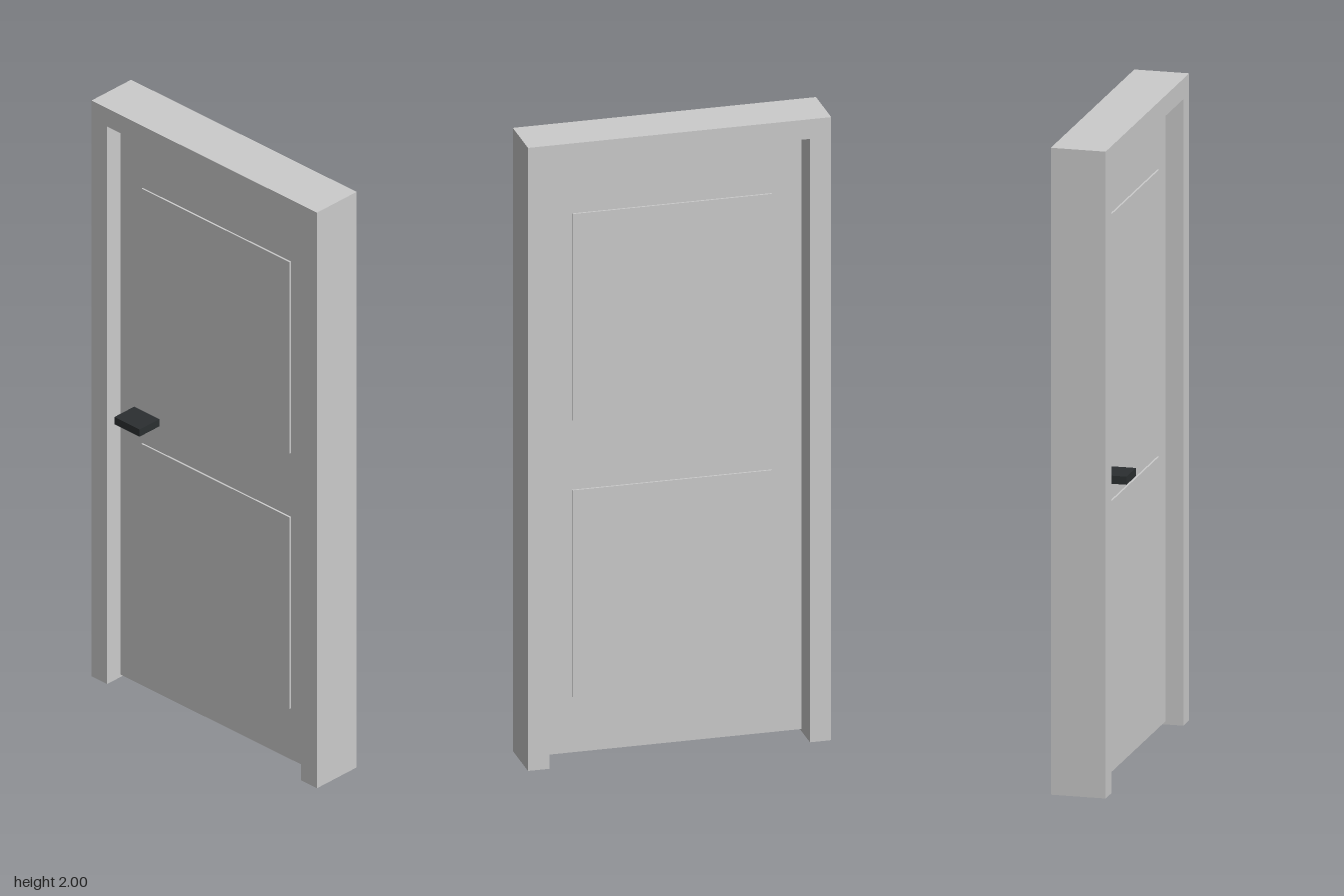
import * as THREE from 'three';

const grey = new THREE.MeshStandardMaterial({ color: 0xcccccc });
const dark = new THREE.MeshStandardMaterial({ color: 0x2b2f31 });

// Box given by its lower and upper corners
function box(name, [x0, y0, z0], [x1, y1, z1], material = grey) {
  const mesh = new THREE.Mesh(new THREE.BoxGeometry(x1 - x0, y1 - y0, z1 - z0), material);
  mesh.position.set((x0 + x1) / 2, (y0 + y1) / 2, (z0 + z1) / 2);
  mesh.name = name;
  return mesh;
}

export function createModel() {
  const door = new THREE.Group();
  door.name = 'door';

  // Frame: two jambs and a header in one seamless outline, open at the floor
  const outline = [
    [-0.47, 0], [-0.404, 0], [-0.404, 1.937], [0.404, 1.937],
    [0.404, 0], [0.47, 0], [0.47, 2], [-0.47, 2],
  ].map(([x, y]) => new THREE.Vector2(x, y));
  const frameGeometry = new THREE.ExtrudeGeometry(new THREE.Shape(outline), {
    depth: 0.17, bevelEnabled: false,
  });
  const frame = new THREE.Mesh(frameGeometry, grey);
  frame.position.z = -0.1;
  frame.name = 'frame';
  door.add(frame);

  // Leaf, with a small gap to the frame and the floor
  const front = 0.015, back = -0.013, raise = 0.006;
  door.add(box('leaf', [-0.402, 0.01, back], [0.402, 1.929, front]));

  // Two raised panels, standing proud on both faces of the leaf
  for (const [name, bottom] of [['lowerPanel', 0.188], ['upperPanel', 1.075]]) {
    door.add(box(name, [-0.309, bottom, back - raise], [0.309, bottom + 0.665, front + raise]));
  }

  // Handle on the front face
  door.add(box('handle', [-0.345, 0.94, front], [-0.24, 0.965, 0.1], dark));

  return door;
}
